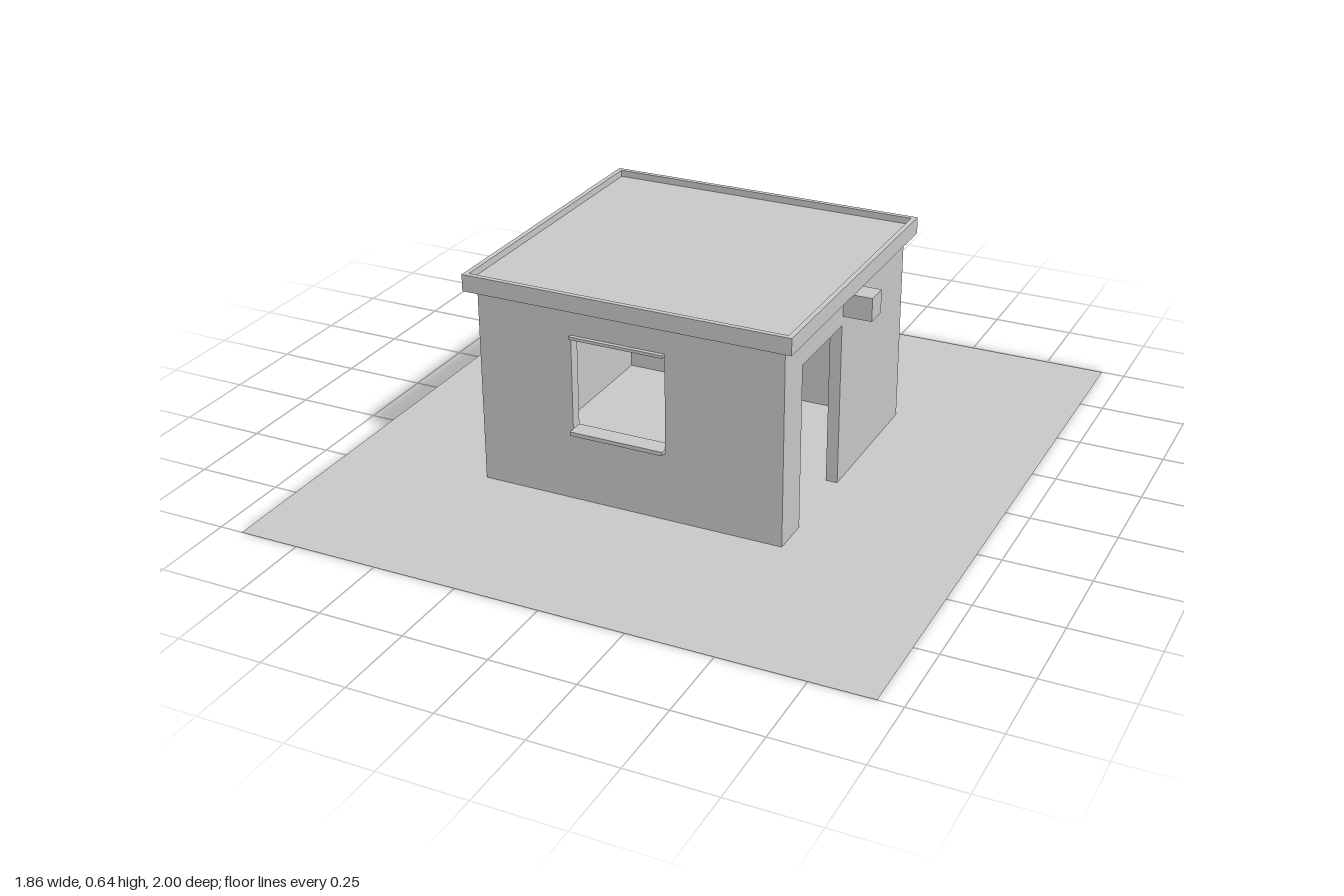
import * as THREE from 'three';

const grey = new THREE.MeshStandardMaterial({ color: 0xcccccc, flatShading: true });
const ground = new THREE.MeshStandardMaterial({ color: 0xcccccc, side: THREE.DoubleSide });

// Outer extents of the walls
const X0 = -0.485, X1 = 0.44, Z = 0.44, H = 0.59, T = 0.035;

// Box given by its minimum and maximum corners
function box(name, [x0, y0, z0], [x1, y1, z1]) {
  const mesh = new THREE.Mesh(new THREE.BoxGeometry(x1 - x0, y1 - y0, z1 - z0), grey);
  mesh.position.set((x0 + x1) / 2, (y0 + y1) / 2, (z0 + z1) / 2);
  mesh.name = name;
  return mesh;
}

// Rectangular path drawn on a Shape or Path
function rect(path, x0, y0, x1, y1) {
  path.moveTo(x0, y0);
  path.lineTo(x1, y0);
  path.lineTo(x1, y1);
  path.lineTo(x0, y1);
  path.closePath();
  return path;
}

// Rectangle with a rectangular hole, extruded along z
function frame(name, outer, hole, depth) {
  const shape = rect(new THREE.Shape(), ...outer);
  shape.holes.push(rect(new THREE.Path(), ...hole));
  const mesh = new THREE.Mesh(new THREE.ExtrudeGeometry(shape, { depth, bevelEnabled: false }), grey);
  mesh.name = name;
  return mesh;
}

export function createModel() {
  const model = new THREE.Group();
  model.name = 'guardhouse';

  // Ground sheet
  const sheet = new THREE.Mesh(new THREE.PlaneGeometry(1.86, 2), ground);
  sheet.rotation.x = -Math.PI / 2;
  sheet.name = 'ground';
  model.add(sheet);

  // Front and back walls, each with a window, sill and lintel strip
  const W0 = -0.195, W1 = 0.09;
  for (const [side, s] of [['front', 1], ['back', -1]]) {
    const wall = frame(side + 'Wall', [X0, 0, X1, H], [W0, 0.21, W1, 0.505], T);
    wall.position.z = s > 0 ? Z - T : -Z;
    model.add(wall);
    const strip = (name, y0, y1, out) => {
      const a = s * (Z - T), b = s * (Z + out);
      model.add(box(side + name, [W0, y0, Math.min(a, b)], [W1, y1, Math.max(a, b)]));
    };
    strip('WindowSill', 0.208, 0.22, 0.02);
    strip('WindowLintel', 0.498, 0.507, 0.012);
  }

  // Closed side wall, and the side wall with the doorway
  model.add(box('rightWall', [X0, 0, -Z + T], [X0 + T, H, Z - T]));
  const doorX = X1 - T, D0 = 0.04, D1 = 0.32, doorTop = 0.495;
  model.add(box('doorWallRear', [doorX, 0, -Z + T], [X1, H, D0]));
  model.add(box('doorWallFront', [doorX, 0, D1], [X1, H, Z - T]));
  model.add(box('doorLintel', [doorX, doorTop, D0], [X1, H, D1]));

  // Overhanging flat roof with a raised rim
  const R = [-0.515, -0.47, 0.47, 0.47];
  model.add(box('roofSlab', [R[0], H, R[1]], [R[2], 0.62, R[3]]));
  const rim = frame('roofRim', R, [-0.5, -0.455, 0.455, 0.455], 0.02);
  rim.rotation.x = -Math.PI / 2;
  rim.position.y = 0.62;
  model.add(rim);

  // Small boxes under the eaves on both sides
  model.add(box('doorSideLamp', [X1, 0.52, -0.035], [0.525, H, 0.035]));
  model.add(box('closedSideLamp', [-0.53, 0.52, -0.035], [X0 + T - 0.005, H, 0.035]));

  return model;
}
